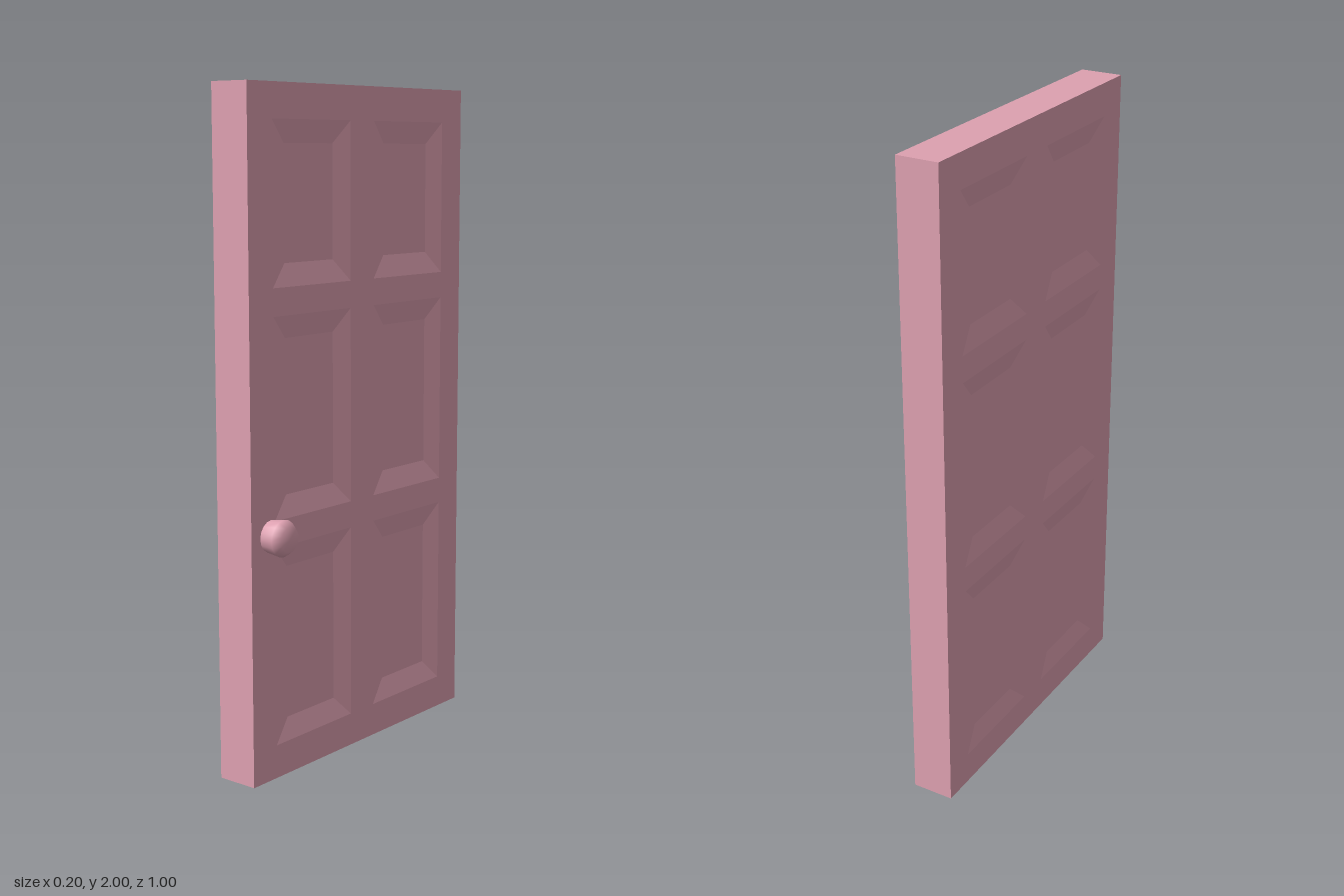
import * as THREE from 'three';

const BACK = -0.1, FACE = 0.03, THICK = FACE - BACK;
const INSET = 0.066, RECESS = 0.015;
const COLUMNS = [[-0.4, -0.055], [0.055, 0.4]];
const ROWS = [[0.1, 0.69], [0.77, 1.355], [1.435, 1.9]];

// Sunken panel: four sloping sides down to a flat centre, rim at z = 0
function panelGeometry(w, h) {
  const ring = (x, y, z) => [-x, -y, z, x, -y, z, x, y, z, -x, y, z];
  const index = [4, 5, 6, 4, 6, 7];
  for (let i = 0; i < 4; i++) {
    const j = (i + 1) % 4;
    index.push(i, j, j + 4, i, j + 4, i + 4);
  }
  const geo = new THREE.BufferGeometry();
  geo.setAttribute('position', new THREE.Float32BufferAttribute(
    [...ring(w / 2, h / 2, 0), ...ring(w / 2 - INSET, h / 2 - INSET, -RECESS)], 3));
  geo.setIndex(index);
  const flat = geo.toNonIndexed();
  flat.computeVertexNormals();
  return flat;
}

export function createModel() {
  const model = new THREE.Group();
  model.name = 'door';
  const paint = new THREE.MeshStandardMaterial({ color: 0xdda0b0 });

  // Leaf is drawn facing +z, then turned to face +x
  const leaf = new THREE.Group();
  leaf.name = 'doorLeaf';
  leaf.rotation.y = Math.PI / 2;
  model.add(leaf);

  // Frame of stiles and rails with six openings
  const outline = new THREE.Shape([[-0.5, 0], [0.5, 0], [0.5, 2], [-0.5, 2]]
    .map(([x, y]) => new THREE.Vector2(x, y)));
  for (const [x0, x1] of COLUMNS) {
    for (const [y0, y1] of ROWS) {
      outline.holes.push(new THREE.Path([[x0, y0], [x0, y1], [x1, y1], [x1, y0]]
        .map(([x, y]) => new THREE.Vector2(x, y))));

      // Sunken panels on both faces
      const geo = panelGeometry(x1 - x0, y1 - y0);
      for (const side of ['front', 'back']) {
        const panel = new THREE.Mesh(geo, paint);
        panel.name = side + 'Panel';
        panel.position.set((x0 + x1) / 2, (y0 + y1) / 2, side === 'front' ? FACE : BACK);
        if (side === 'back') panel.rotation.y = Math.PI;
        leaf.add(panel);
      }
    }
  }
  const frame = new THREE.Mesh(
    new THREE.ExtrudeGeometry(outline, { depth: THICK, bevelEnabled: false }), paint);
  frame.name = 'doorFrame';
  frame.position.z = BACK;
  leaf.add(frame);

  // Round knob with a chamfered nose
  const profile = [[0.048, 0], [0.054, 0.047], [0.037, 0.07], [0, 0.07]]
    .map(([r, y]) => new THREE.Vector2(r, y));
  const knob = new THREE.Mesh(new THREE.LatheGeometry(profile, 16), paint);
  knob.name = 'doorKnob';
  knob.rotation.z = -Math.PI / 2;
  knob.position.set(FACE, 0.73, 0.415);
  model.add(knob);

  return model;
}
